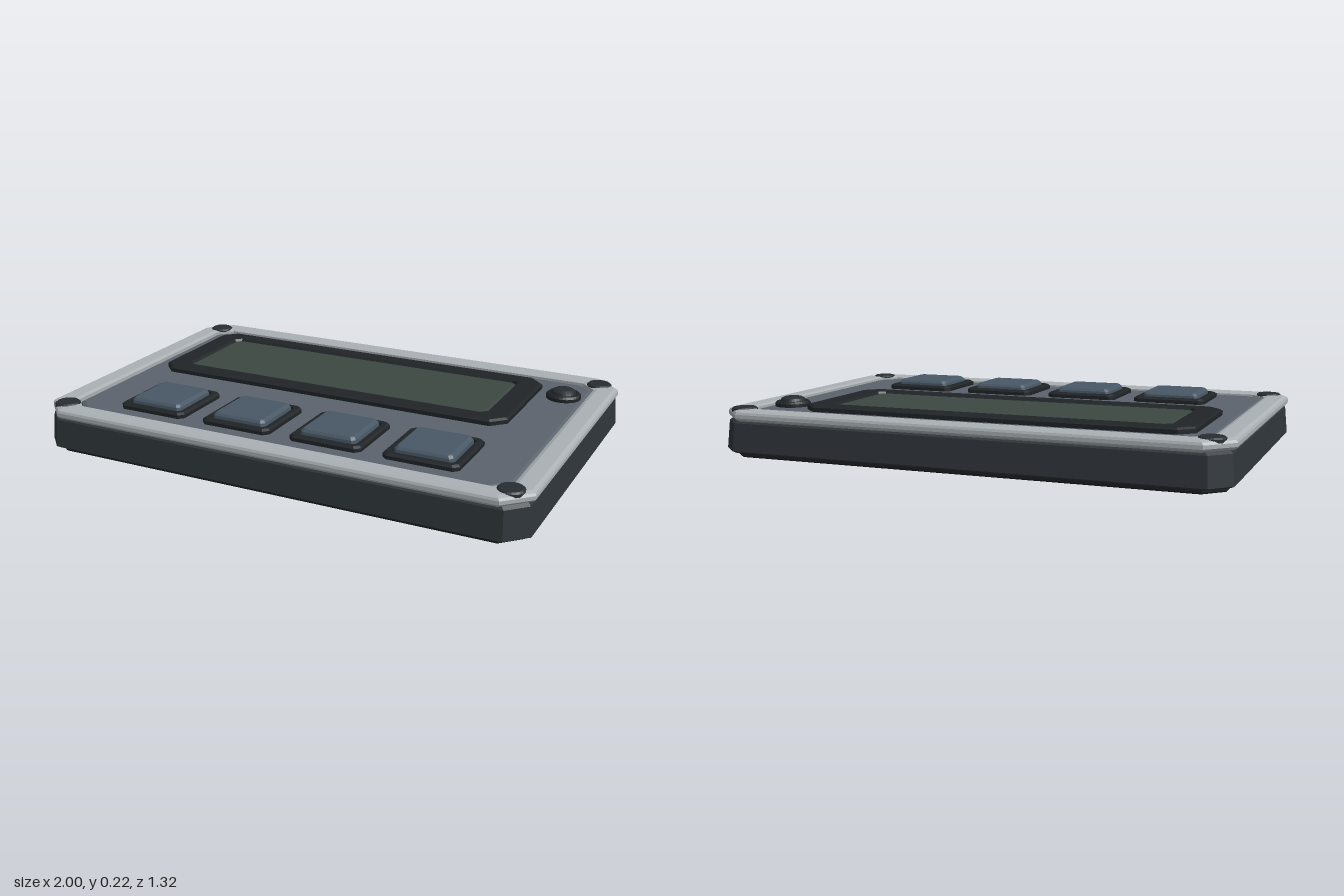
import * as THREE from 'three';

const paint = (color) => new THREE.MeshStandardMaterial({ color, flatShading: true });

// Eight corners of a rectangle with cut corners, counter-clockwise seen from above
function cutRect([w, d, y, c]) {
  return [
    [w, d - c], [w, c - d], [w - c, -d], [c - w, -d],
    [-w, c - d], [-w, d - c], [c - w, d], [w - c, d],
  ].map(([x, z]) => [x, y, z]);
}

// Joins sections [halfWidth, halfDepth, y, cornerCut]; ends are capped, or joined into a ring
function loft(sections, ring = false) {
  const loops = sections.map(cutRect);
  const pos = [];
  const tri = (a, b, c) => pos.push(...a, ...b, ...c);
  const joins = ring ? loops.length : loops.length - 1;
  for (let s = 0; s < joins; s++) {
    const lo = loops[s], hi = loops[(s + 1) % loops.length];
    for (let i = 0; i < 8; i++) {
      const j = (i + 1) % 8;
      tri(lo[i], lo[j], hi[j]);
      tri(lo[i], hi[j], hi[i]);
    }
  }
  if (!ring) {
    const bottom = loops[0], top = loops[loops.length - 1];
    for (let i = 1; i < 7; i++) {
      tri(bottom[0], bottom[i + 1], bottom[i]);
      tri(top[0], top[i], top[i + 1]);
    }
  }
  const geo = new THREE.BufferGeometry();
  geo.setAttribute('position', new THREE.Float32BufferAttribute(pos, 3));
  geo.computeVertexNormals();
  return geo;
}

export function createModel() {
  const model = new THREE.Group();
  model.name = 'displayUnit';
  const mat = {
    base: paint(0x1b1d1f), body: paint(0x2f353a), rim: paint(0xaab0b4),
    panel: paint(0x5b636c), dark: paint(0x202427), screen: paint(0x3d4842),
    cap: paint(0x485865), screw: paint(0x282d31),
  };
  const add = (name, geo, material, x = 0, y = 0, z = 0, parent = model) => {
    const mesh = new THREE.Mesh(geo, material);
    mesh.name = name;
    mesh.position.set(x, y, z);
    parent.add(mesh);
    return mesh;
  };

  // Case: foot plate, tapered body, bevelled rim and recessed panel
  add('basePlate', loft([[0.965, 0.625, 0, 0.07], [0.97, 0.63, 0.005, 0.07], [0.97, 0.63, 0.025, 0.07]]), mat.base);
  add('body', loft([
    [0.985, 0.645, 0.018, 0.075], [0.998, 0.658, 0.026, 0.075],
    [0.988, 0.648, 0.135, 0.07], [0.978, 0.638, 0.145, 0.07],
  ]), mat.body);
  add('rim', loft([
    [0.985, 0.645, 0.143, 0.09], [0.996, 0.656, 0.149, 0.095], [1, 0.66, 0.156, 0.095],
    [1, 0.66, 0.17, 0.095], [0.996, 0.656, 0.179, 0.095], [0.983, 0.643, 0.185, 0.09],
    [0.925, 0.585, 0.185, 0.065], [0.91, 0.572, 0.179, 0.06], [0.91, 0.572, 0.143, 0.06],
  ], true), mat.rim);
  add('frontPanel', loft([[0.912, 0.574, 0.14, 0.06], [0.905, 0.567, 0.167, 0.06], [0.893, 0.555, 0.174, 0.055]]), mat.panel);

  // Display: cut-corner bezel around a sunken screen
  const display = new THREE.Group();
  display.name = 'display';
  display.position.set(-0.063, 0, -0.228);
  model.add(display);
  add('bezel', loft([
    [0.775, 0.278, 0.165, 0.055], [0.775, 0.278, 0.19, 0.055], [0.765, 0.268, 0.197, 0.05],
    [0.682, 0.207, 0.197, 0.025], [0.674, 0.199, 0.186, 0.02], [0.674, 0.199, 0.165, 0.02],
  ], true), mat.dark, 0, 0, 0, display);
  add('screen', loft([[0.676, 0.201, 0.168, 0.02], [0.674, 0.199, 0.187, 0.02], [0.664, 0.189, 0.191, 0.015]]),
    mat.screen, 0, 0, 0, display);

  // Row of four square keys in dark sockets
  const socketGeo = loft([
    [0.146, 0.146, 0.165, 0.02], [0.146, 0.146, 0.188, 0.02], [0.137, 0.137, 0.195, 0.018],
    [0.12, 0.12, 0.195, 0.012], [0.118, 0.118, 0.18, 0.012],
  ]);
  const capGeo = loft([
    [0.115, 0.115, 0.175, 0.012], [0.112, 0.112, 0.203, 0.012],
    [0.105, 0.105, 0.212, 0.012], [0.1, 0.1, 0.215, 0.01],
  ]);
  for (let i = 0; i < 4; i++) {
    const key = new THREE.Group();
    key.name = `key${i + 1}`;
    key.position.set(-0.567 + i * 0.376, 0, 0.367);
    model.add(key);
    add('keySocket', socketGeo, mat.dark, 0, 0, 0, key);
    add('keyCap', capGeo, mat.cap, 0, 0, 0, key);
  }

  // Corner screws
  const screwGeo = new THREE.LatheGeometry(
    [[0.05, 0], [0.05, 0.028], [0.043, 0.034], [0, 0.034]].map(([r, y]) => new THREE.Vector2(r, y)), 20);
  for (const x of [-0.918, 0.918]) for (const z of [-0.575, 0.575]) add('cornerScrew', screwGeo, mat.screw, x, 0.156, z);

  // Round push button with a low domed top
  const collar = [[0.07, 0], [0.07, 0.022], [0.062, 0.03], [0.052, 0.03], [0.05, 0.02], [0, 0.02]];
  const dome = [[0.05, 0], [0.05, 0.03], [0.046, 0.04], [0.035, 0.046], [0.02, 0.049], [0, 0.05]];
  const lathe = (pts) => new THREE.LatheGeometry(pts.map(([r, y]) => new THREE.Vector2(r, y)), 28);
  add('roundButtonCollar', lathe(collar), mat.dark, 0.82, 0.165, -0.385);
  add('roundButton', lathe(dome), mat.screw, 0.82, 0.165, -0.385);

  return model;
}
